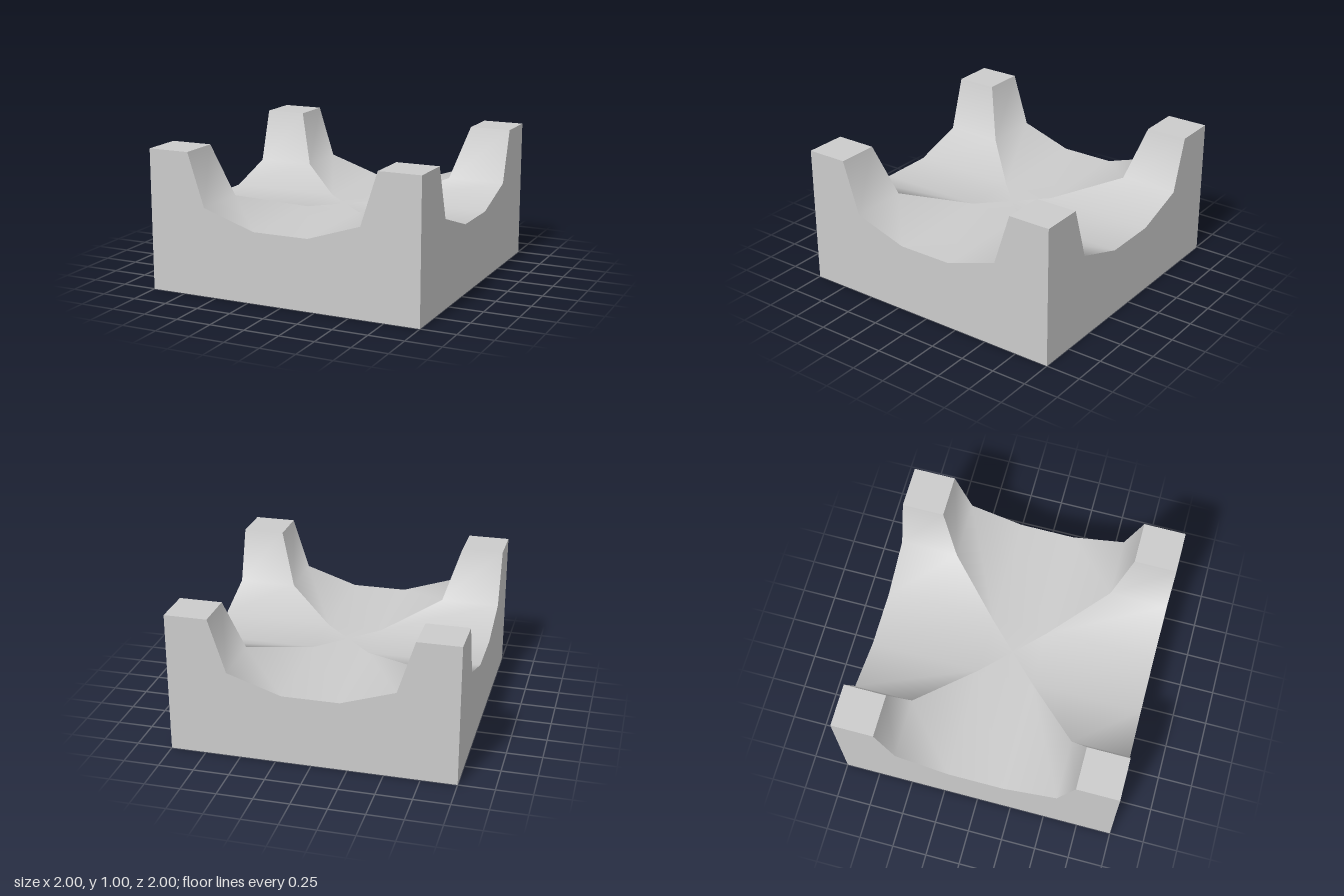
import * as THREE from 'three';

// Channel cross-section (x, height), shared by both crossing channels
const PROFILE = [[-0.7, 1], [-0.58, 0.625], [-0.2, 0.5], [0.2, 0.5], [0.58, 0.625], [0.7, 1]];
const material = new THREE.MeshStandardMaterial({ color: 0xcccccc });

function add(parent, geometry, name) {
  const mesh = new THREE.Mesh(geometry, material);
  mesh.name = name;
  parent.add(mesh);
  return mesh;
}

// One arm of the cross, mitred along the diagonals, running out to z = 1
function channelGeometry() {
  const points = [], index = [];
  PROFILE.forEach(([x, y], i) => {
    points.push(x, y, Math.abs(x), x, y, 1);
    if (i === PROFILE.length - 1) return;
    const a = i * 2;
    index.push(a, a + 1, a + 3, a, a + 3, a + 2);
  });
  // Quarter of the flat centre
  points.push(0, 0.5, 0);
  index.push(PROFILE.length * 2, 4, 6);
  const geometry = new THREE.BufferGeometry();
  geometry.setAttribute('position', new THREE.Float32BufferAttribute(points, 3));
  geometry.setIndex(index);
  geometry.computeVertexNormals();
  return geometry;
}

export function createModel() {
  const model = new THREE.Group();
  model.name = 'crossChannelBlock';

  const outline = [[-1, 0], [1, 0], [1, 1], ...[...PROFILE].reverse(), [-1, 1]];
  const wall = new THREE.ShapeGeometry(
    new THREE.Shape(outline.map(([x, y]) => new THREE.Vector2(x, y))));
  wall.translate(0, 0, 1);
  const postTop = new THREE.PlaneGeometry(0.3, 0.3);
  postTop.rotateX(-Math.PI / 2).translate(0.85, 1, 0.85);
  const channel = channelGeometry();

  // Four identical sides: outer wall, channel arm and corner post top
  ['front', 'left', 'back', 'right'].forEach((name, i) => {
    const side = new THREE.Group();
    side.name = name + 'Side';
    side.rotation.y = i * Math.PI / 2;
    add(side, wall, name + 'Wall');
    add(side, channel, name + 'Channel');
    add(side, postTop, name + 'PostTop');
    model.add(side);
  });

  // Underside
  add(model, new THREE.PlaneGeometry(2, 2).rotateX(Math.PI / 2), 'base');
  return model;
}
